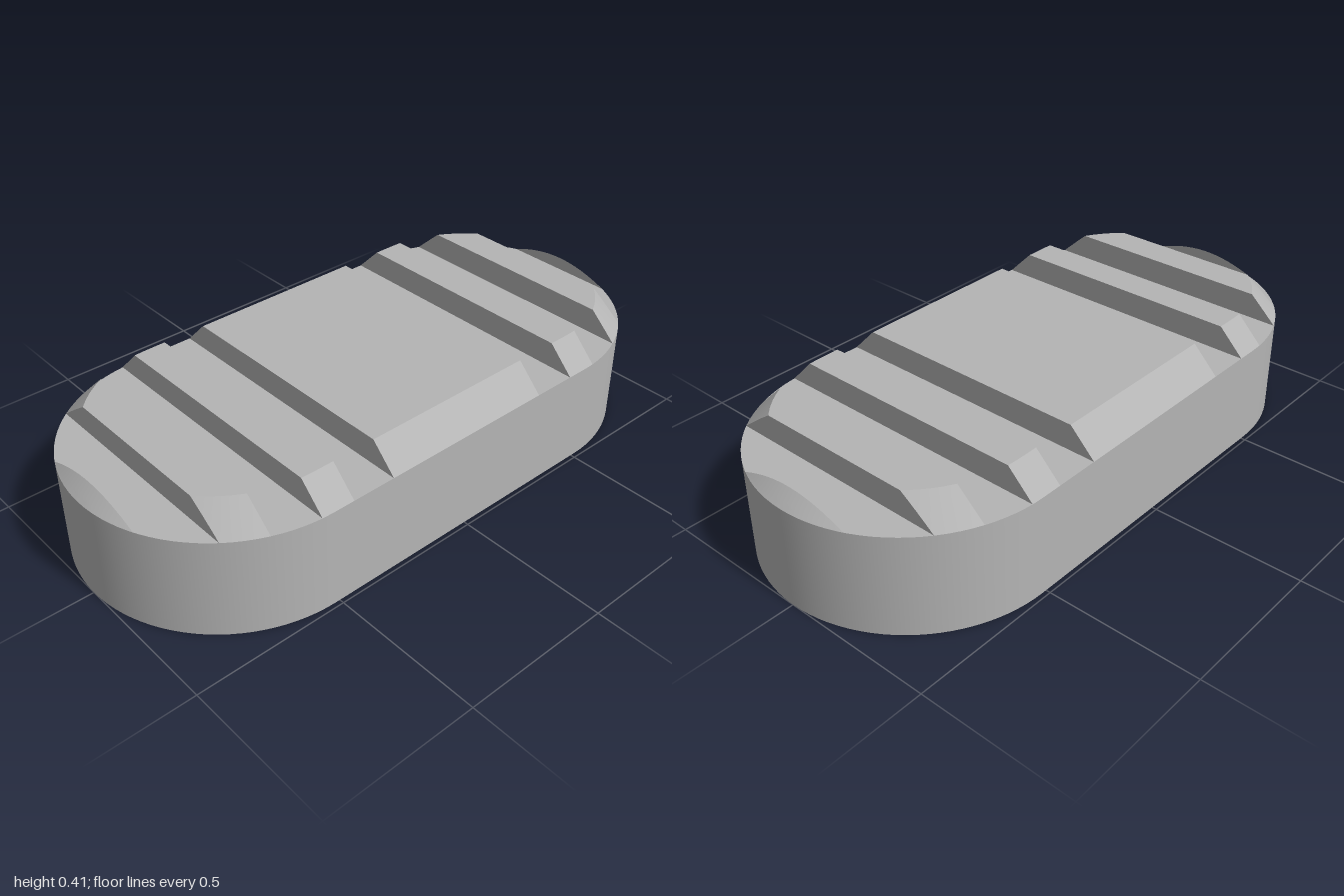
import * as THREE from 'three';
import { mergeGeometries, toCreasedNormals } from 'three/addons/utils/BufferGeometryUtils.js';

const R = 0.485;        // end radius and half width
const C = 1 - R;        // x of the end arc centres
const H = 0.33;         // body height
const BEVEL = 0.085;    // rib height and 45 degree bevel
const ARC = 24;         // segments per quarter turn
const POCKET = 0.225, DEPTH = 0.24; // pocket half width and depth

// Distance past the arc centre, and half width of a rounded outline at x
const past = (x) => Math.max(0, Math.abs(x) - C);
const halfWidth = (x, r) => Math.sqrt(Math.max(0, r * r - past(x) ** 2));

// Slice of the top between x0 and x1: a flat groove floor or a bevelled rib
function topSlice(x0, x1, raised) {
  const xs = [x0, x1];
  for (let i = 0; i < ARC; i++) {
    const k = C + R * Math.sin((i / ARC) * Math.PI / 2);
    for (const x of [k, -k]) if (x > x0 + 1e-4 && x < x1 - 1e-4) xs.push(x);
  }
  xs.sort((a, b) => a - b);

  const steps = 8;
  const rows = xs.map((x) => {
    const outer = halfWidth(x, R), inner = halfWidth(x, R - BEVEL);
    const half = [];
    for (let i = 0; i <= steps; i++) {
      const z = outer + (inner - outer) * i / steps;
      const rise = Math.max(0, Math.min(BEVEL, R - Math.hypot(past(x), z)));
      half.push([x, raised ? H + rise : H, z]);
    }
    return [...half.map(([a, y, z]) => [a, y, -z]), ...half.reverse()];
  });

  const pos = [];
  const quad = (a, b, c, d) => pos.push(...a, ...b, ...c, ...b, ...d, ...c);
  for (let i = 0; i < rows.length - 1; i++) {
    for (let j = 0; j < rows[i].length - 1; j++) {
      quad(rows[i][j], rows[i][j + 1], rows[i + 1][j], rows[i + 1][j + 1]);
    }
  }
  // Upright end walls of a rib
  if (raised) {
    const drop = (p) => [p[0], H, p[2]];
    const first = rows[0], last = rows[rows.length - 1];
    for (let j = 0; j < first.length - 1; j++) {
      quad(drop(first[j]), drop(first[j + 1]), first[j], first[j + 1]);
      quad(drop(last[j + 1]), drop(last[j]), last[j + 1], last[j]);
    }
  }
  const geo = new THREE.BufferGeometry();
  geo.setAttribute('position', new THREE.Float32BufferAttribute(pos, 3));
  return toCreasedNormals(geo, 0.5);
}

export function createModel() {
  const group = new THREE.Group();
  group.name = 'ribbedPad';
  const grey = new THREE.MeshStandardMaterial({ color: 0xb4b4b4 });
  grey.name = 'grey';
  const add = (name, geo) => {
    const mesh = new THREE.Mesh(geo, grey);
    mesh.name = name;
    group.add(mesh);
  };

  // Side wall: two half cylinders joined by flat panels
  const wall = [];
  for (const s of [1, -1]) {
    wall.push(new THREE.CylinderGeometry(R, R, H, ARC * 2, 1, true, s > 0 ? 0 : Math.PI, Math.PI)
      .translate(s * C, H / 2, 0));
    wall.push(new THREE.PlaneGeometry(2 * C, H).translate(0, 0, R)
      .rotateY(s > 0 ? 0 : Math.PI).translate(0, H / 2, 0));
  }
  add('sideWall', mergeGeometries(wall));

  // Underside with a square opening
  const outline = new THREE.Shape();
  outline.absarc(C, 0, R, -Math.PI / 2, Math.PI / 2);
  outline.absarc(-C, 0, R, Math.PI / 2, Math.PI * 1.5);
  outline.closePath();
  const hole = new THREE.Path();
  hole.moveTo(-POCKET, -POCKET);
  hole.lineTo(-POCKET, POCKET);
  hole.lineTo(POCKET, POCKET);
  hole.lineTo(POCKET, -POCKET);
  hole.closePath();
  outline.holes.push(hole);
  add('underside', new THREE.ShapeGeometry(outline, ARC).rotateX(Math.PI / 2));

  // Square pocket: four inward walls and a ceiling
  const pocket = [new THREE.PlaneGeometry(2 * POCKET, 2 * POCKET).rotateX(Math.PI / 2).translate(0, DEPTH, 0)];
  for (let i = 0; i < 4; i++) {
    pocket.push(new THREE.PlaneGeometry(2 * POCKET, DEPTH)
      .translate(0, DEPTH / 2, -POCKET).rotateY(i * Math.PI / 2));
  }
  add('pocket', mergeGeometries(pocket));

  // Ribs and the grooves between them, mirrored left and right
  add('centrePad', topSlice(-0.3, 0.3, true));
  const cuts = [0.3, 0.445, 0.555, 0.7, 0.815, 0.957, 1];
  for (let i = 0; i < cuts.length - 1; i++) {
    const raised = i % 2 === 1;
    const name = raised ? (i === 5 ? 'EndLip' : 'Rib') : 'Groove';
    add('left' + name, topSlice(cuts[i], cuts[i + 1], raised));
    add('right' + name, topSlice(-cuts[i + 1], -cuts[i], raised));
  }
  return group;
}
